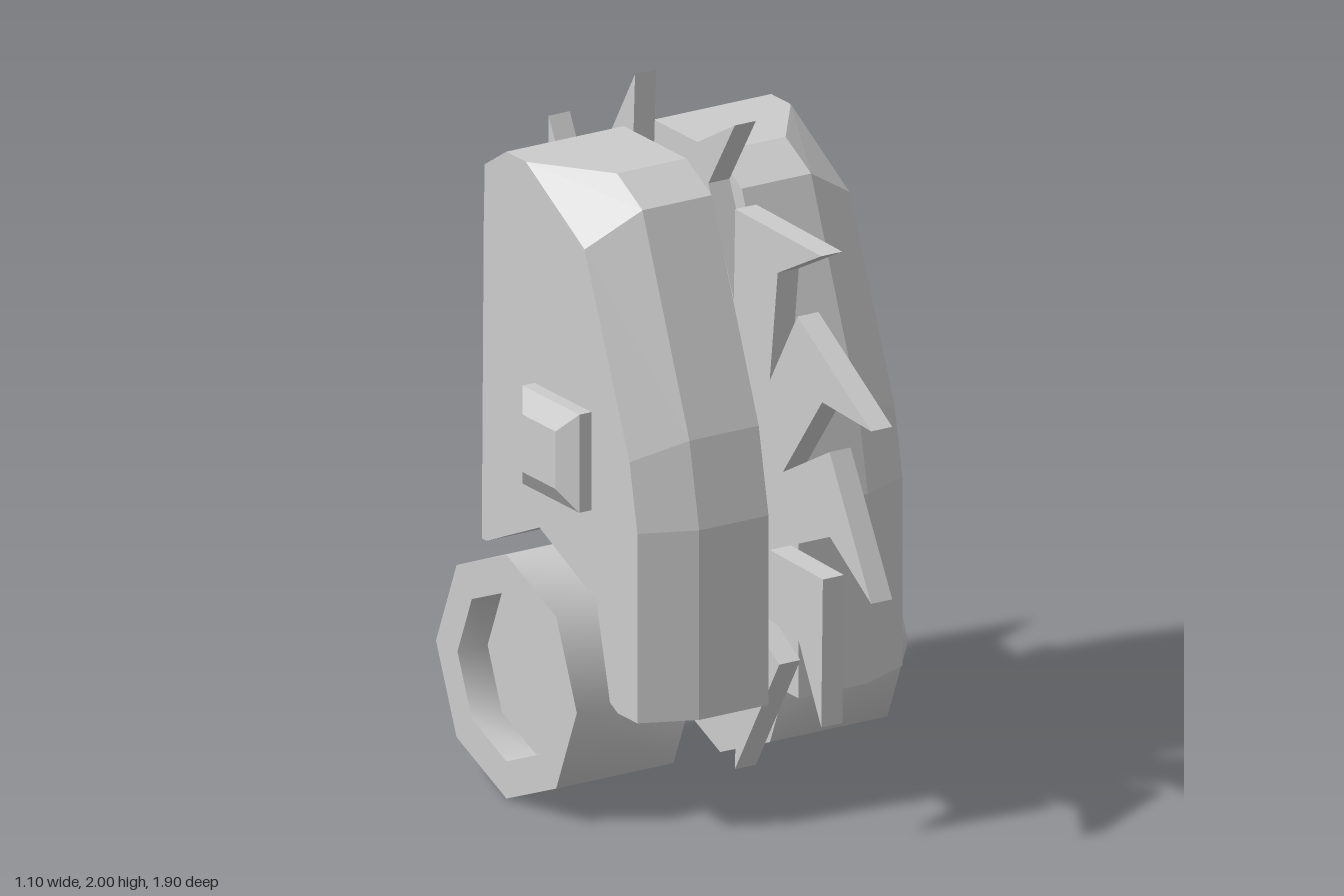
import * as THREE from 'three';
import { toCreasedNormals } from 'three/addons/utils/BufferGeometryUtils.js';

const grey = new THREE.MeshStandardMaterial({ color: 0xcccccc });

// Joins equal-length outlines of [z, y] points along x and closes both ends; flat faces.
function loft(xs, outlines) {
  const pos = [];
  const put = (k, i) => pos.push(xs[k], outlines[k][i][1], outlines[k][i][0]);
  const n = outlines[0].length;
  for (let k = 0; k < xs.length - 1; k++) {
    for (let i = 0; i < n; i++) {
      const j = (i + 1) % n;
      put(k, i); put(k + 1, i); put(k + 1, j);
      put(k, i); put(k + 1, j); put(k, j);
    }
  }
  for (const k of [0, xs.length - 1]) {
    const pts = outlines[k].map(([z, y]) => new THREE.Vector2(z, y));
    for (const [a, b, c] of THREE.ShapeUtils.triangulateShape(pts, [])) {
      const ccw = THREE.ShapeUtils.area([pts[a], pts[b], pts[c]]) > 0;
      const keep = ccw === (k === 0);
      put(k, a); put(k, keep ? b : c); put(k, keep ? c : b);
    }
  }
  const geo = new THREE.BufferGeometry();
  geo.setAttribute('position', new THREE.Float32BufferAttribute(pos, 3));
  geo.computeVertexNormals();
  return geo;
}

// Mirrors a non-indexed geometry across x = 0, keeping faces outward.
function mirrorX(source) {
  const geo = source.clone();
  for (const name of ['position', 'normal']) {
    const src = source.attributes[name], dst = geo.attributes[name];
    for (let i = 0; i < src.count; i++) {
      const from = i - (i % 3) + [0, 2, 1][i % 3];
      dst.setXYZ(i, -src.getX(from), src.getY(from), src.getZ(from));
    }
  }
  return geo;
}

function housingGeometry() {
  // Wheel arch, shared by every section, running from back to front
  const arch = [[-0.39, 0.66], [-0.12, 0.78], [0.17, 0.65], [0.24, 0.37], [0.28, 0.35]];
  const full = [[0.45, 0.35], [0.45, 0.91], [0.4, 1.16], [0.16, 1.77], [0.03, 1.84],
    [-0.29, 1.84], [-0.4, 1.77], [-0.44, 1.6], [-0.44, 0.66], ...arch];
  const bevelled = [[0.38, 0.35], [0.38, 0.91], [0.34, 1.11], [0.11, 1.67], [-0.19, 1.84],
    [-0.29, 1.84], [-0.4, 1.77], [-0.405, 1.6], [-0.415, 0.66], ...arch];
  return loft([0.05, 0.28, 0.44], [full, full, bevelled]);
}

function hubCapGeometry() {
  const square = (r) => [[r, 1.055 - r], [r, 1.055 + r], [-r, 1.055 + r], [-r, 1.055 - r]];
  return loft([0.43, 0.48, 0.52], [square(0.145), square(0.145), square(0.085)]);
}

function wheelGeometry() {
  // Eight-sided drum with a recessed outer face
  const profile = [[0, 0.16], [0.36, 0.16], [0.36, 0.55], [0.25, 0.55], [0.25, 0.45], [0, 0.45]]
    .map(([r, x]) => new THREE.Vector2(r, x));
  const geo = new THREE.LatheGeometry(profile, 8).rotateZ(-Math.PI / 2).translate(0, 0.36, -0.12);
  return toCreasedNormals(geo, THREE.MathUtils.degToRad(50));
}

function bladeGeometry() {
  // Twelve hooked teeth: valley, notch, tip, heel
  const tooth = [[0.5, -30], [0.75, -9.2], [0.985, -15], [0.75, 10]];
  const pts = [];
  for (let k = 0; k < 12; k++) {
    for (const [r, deg] of tooth) {
      const a = THREE.MathUtils.degToRad(deg + 30 * k);
      pts.push(new THREE.Vector2(r * Math.cos(a), r * Math.sin(a)));
    }
  }
  return new THREE.ExtrudeGeometry(new THREE.Shape(pts), { depth: 0.07, bevelEnabled: false })
    .translate(0, 0, -0.035).rotateY(-Math.PI / 2).translate(0, 1.05, 0);
}

export function createModel() {
  const model = new THREE.Group();
  model.name = 'sawWheeler';
  const add = (name, geo) => {
    const mesh = new THREE.Mesh(geo, grey);
    mesh.name = name;
    model.add(mesh);
  };

  add('sawBlade', bladeGeometry());

  // Paired parts on either side of the blade
  const pairs = { Housing: housingGeometry(), HubCap: hubCapGeometry(), Wheel: wheelGeometry() };
  for (const [part, geo] of Object.entries(pairs)) {
    add('left' + part, geo);
    add('right' + part, mirrorX(geo));
  }
  return model;
}
